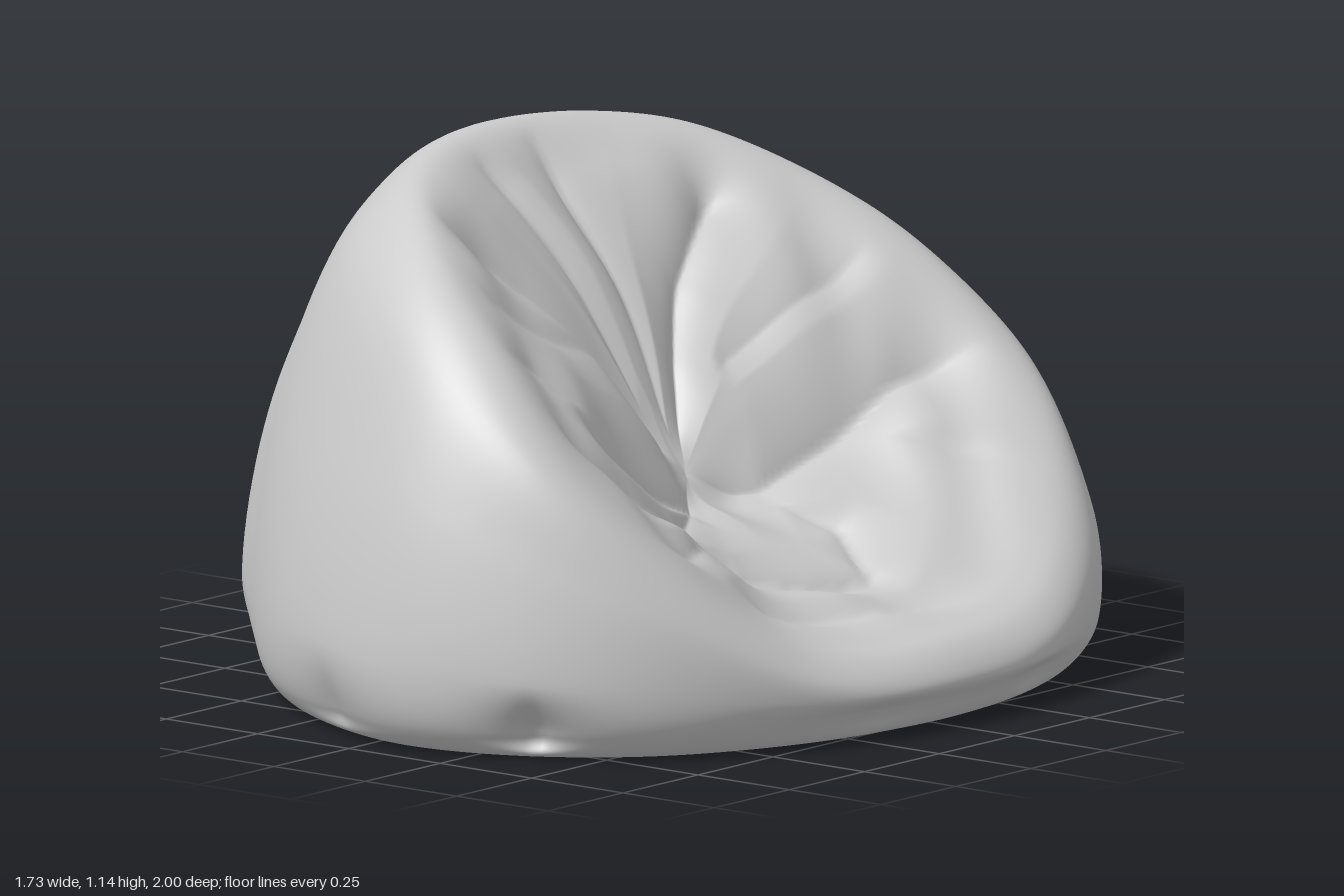
import * as THREE from 'three';

const AROUND = 256, UP = 140;
const SEAT = new THREE.Vector3(0.1, 0.45, 0);    // deepest point of the seat dent
const UNDER = new THREE.Vector3(0.05, 0.045, 0); // pucker under the bag

// Half loops [x, y, z] running from the back, round one side, to the front.
const belly = [[-0.865, 0.22, 0], [-0.8, 0.22, 0.36], [-0.62, 0.22, 0.65], [-0.34, 0.22, 0.88], [0.03, 0.2, 1.0],
  [0.36, 0.18, 0.93], [0.63, 0.15, 0.73], [0.8, 0.105, 0.4], [0.86, 0.1, 0]];
const side = [[-0.81, 0.64, 0], [-0.74, 0.63, 0.33], [-0.56, 0.62, 0.62], [-0.29, 0.6, 0.82], [0.06, 0.55, 0.94],
  [0.36, 0.45, 0.89], [0.63, 0.31, 0.71], [0.795, 0.15, 0.4], [0.845, 0.135, 0]];
const shoulder = [[-0.595, 1.05, 0], [-0.535, 1.03, 0.3], [-0.4, 0.99, 0.56], [-0.14, 0.91, 0.745], [0.11, 0.79, 0.83],
  [0.37, 0.62, 0.82], [0.6, 0.4, 0.67], [0.755, 0.2, 0.38], [0.8, 0.175, 0]];
const rim = [[-0.43, 1.14, 0], [-0.38, 1.125, 0.29], [-0.25, 1.08, 0.5], [-0.04, 0.965, 0.66], [0.15, 0.84, 0.73],
  [0.36, 0.65, 0.74], [0.57, 0.42, 0.6], [0.69, 0.235, 0.36], [0.73, 0.195, 0]];

const foot = (scale, y) => belly.map(([x, , z]) => [x * scale, y, z * scale]);
// Loops sinking from the rim to the seat centre: plump at the back rest, sagging at the front.
const inward = (t, bulge) => rim.map(([x, y, z]) => [
  x + (SEAT.x - x) * t, y + (SEAT.y - y) * t + bulge * (0.4 - x), z * (1 - t)]);

// Mirror a half loop into a closed smooth curve.
function closedLoop(half) {
  const other = half.slice(1, -1).reverse().map(([x, y, z]) => [x, y, -z]);
  return new THREE.CatmullRomCurve3([...half, ...other].map((p) => new THREE.Vector3(...p)), true);
}

const smooth = THREE.MathUtils.smoothstep;

// Creases drawn in plan: depth, width, then a path of x, z pairs
const seatCreases = [
  [0.08, 0.06, 0.1, 0, 0.2, -0.15, 0.24, -0.35, 0.27, -0.55, 0.36, -0.75],
  [0.06, 0.05, 0.1, 0, 0, 0.14, -0.1, 0.3, -0.18, 0.48],
  [0.07, 0.05, 0.1, 0, 0, -0.1, -0.08, -0.22, -0.14, -0.4],
  [0.04, 0.05, 0.1, 0, -0.12, -0.04, -0.36, -0.06],
  [0.03, 0.04, 0.03, 0.05, -0.15, 0.1, -0.33, 0.16],
  [0.06, 0.05, 0.1, 0, 0.2, 0.1, 0.22, 0.28, 0.22, 0.45],
  [0.05, 0.05, 0.2, 0.1, 0.3, 0.25, 0.33, 0.42, 0.3, 0.62],
  [0.045, 0.05, 0.33, 0.3, 0.42, 0.2, 0.48, 0, 0.5, -0.14],
  [0.035, 0.05, 0.26, -0.15, 0.36, -0.2, 0.48, -0.14],
  [0.03, 0.05, 0.2, 0.42, 0.13, 0.55, 0.15, 0.66],
  [0.035, 0.05, 0.4, 0.32, 0.5, 0.48, 0.54, 0.62],
  [0.04, 0.06, 0.58, 0.3, 0.62, 0, 0.66, -0.2, 0.74, -0.4],
  [0.025, 0.05, 0.27, -0.4, 0.42, -0.5, 0.55, -0.6],
  [0.025, 0.05, 0, 0.16, 0.02, 0.35, 0, 0.55],
  [0.025, 0.05, 0.05, -0.2, 0.08, -0.4, 0.1, -0.6]];
const underCreases = [
  [0.05, 0.035, 0.05, 0, 0.25, 0.05, 0.45, 0, 0.68, 0.12],
  [0.04, 0.035, 0.25, 0.05, 0.35, 0.3, 0.5, 0.5],
  [0.05, 0.035, 0.05, 0, 0, 0.25, 0.1, 0.5, 0.05, 0.78],
  [0.04, 0.035, 0, 0.25, -0.25, 0.4, -0.35, 0.6],
  [0.05, 0.035, 0.05, 0, -0.2, 0.06, -0.4, 0, -0.68, 0.1],
  [0.04, 0.035, 0.05, 0, -0.12, -0.25, -0.35, -0.35, -0.5, -0.5],
  [0.05, 0.035, 0.05, 0, 0.12, -0.3, 0.05, -0.55, 0.1, -0.78],
  [0.04, 0.035, 0.12, -0.3, 0.35, -0.35, 0.55, -0.45]];
// Tucks where the side meets the floor: [angle, width, depth]
const tucks = [[1.15, 0.08, 0.06], [1.75, 0.13, 0.035], [2.5, 0.12, 0.03], [0.25, 0.2, 0.02], [-0.4, 0.12, 0.025],
  [-1.5, 0.12, 0.02], [-2.4, 0.14, 0.025]];

function distanceToPath(x, z, path) {
  let best = Infinity;
  for (let i = 0; i + 3 < path.length; i += 2) {
    const dx = path[i + 2] - path[i], dz = path[i + 3] - path[i + 1];
    const t = ((x - path[i]) * dx + (z - path[i + 1]) * dz) / (dx * dx + dz * dz);
    const k = THREE.MathUtils.clamp(t, 0, 1);
    best = Math.min(best, Math.hypot(x - path[i] - dx * k, z - path[i + 1] - dz * k));
  }
  return best;
}

// The deepest crease at a point wins, so crossings do not add up.
const creaseDepth = (creases, x, z) => Math.max(...creases.map(([depth, width, ...path]) =>
  depth * Math.exp(-distanceToPath(x, z, path) / width)));

function tuckDepth(angle) {
  return tucks.reduce((sum, [at, width, depth]) => {
    const gap = Math.atan2(Math.sin(angle - at), Math.cos(angle - at));
    return sum + depth * Math.exp(-Math.abs(gap) / width);
  }, 0);
}

// Wrinkle a smooth point; row 0 is the floor pucker, 5 the belly, 8 the rim and 12 the seat centre.
function wrinkle(p, row) {
  if (row > 8) {
    const fade = smooth(row, 8, 9.2) * (1 - smooth(row, 11, 12));
    const ripple = 0.008 * Math.sin(p.x * 17 + 4 * Math.sin(p.z * 6)) + 0.006 * Math.sin(p.z * 21 + p.x * 8);
    const drop = fade * (creaseDepth(seatCreases, p.x, p.z) - 0.02 + ripple);
    p.y -= drop * 0.85;
    p.x -= drop * 0.3;
  } else if (row < 4) {
    const r = Math.hypot(p.x, p.z);
    p.y += smooth(r, 0.02, 0.25) * (1 - smooth(r, 0.65, 0.85)) * creaseDepth(underCreases, p.x, p.z);
  }
  // Cloth pinched in at the bottom edge
  const pinch = smooth(row, 3, 3.8) * (1 - smooth(row, 4, 5));
  const k = 1 - pinch * tuckDepth(Math.atan2(p.z, p.x));
  p.x *= k;
  p.z *= k;
  // Slight lopsided lean of the filling
  p.x += 0.09 * p.z * (0.5 - p.x) * (1 - smooth(Math.abs(p.x), 0.6, 0.86));
  p.y = Math.max(p.y, 0);
  return p;
}

function bagGeometry() {
  const loops = [foot(0.45, 0.008), foot(0.8, 0.004), foot(0.92, 0.01), foot(0.98, 0.065), belly, side, shoulder, rim,
    inward(0.25, 0.08), inward(0.55, 0.12), inward(0.82, 0.07)].map(closedLoop);
  const spans = loops.length + 1;
  const positions = [], index = [];
  for (let i = 0; i < AROUND; i++) {
    const section = new THREE.CatmullRomCurve3(
      [UNDER, ...loops.map((loop) => loop.getPoint(i / AROUND)), SEAT], false, 'centripetal');
    for (let j = 0; j <= UP; j++) {
      positions.push(...wrinkle(section.getPoint(j / UP), (j / UP) * spans).toArray());
    }
  }
  // Quads between neighbouring sections, triangles at the two closing points
  const row = UP + 1;
  for (let i = 0; i < AROUND; i++) {
    for (let j = 0; j < UP; j++) {
      const a = i * row + j, b = ((i + 1) % AROUND) * row + j;
      if (j > 0) index.push(a, b, b + 1);
      if (j < UP - 1) index.push(a, b + 1, a + 1);
    }
  }
  const geometry = new THREE.BufferGeometry();
  geometry.setAttribute('position', new THREE.Float32BufferAttribute(positions, 3));
  geometry.setIndex(index);
  geometry.computeVertexNormals();
  return geometry;
}

export function createModel() {
  const group = new THREE.Group();
  group.name = 'beanBagChair';
  const bag = new THREE.Mesh(bagGeometry(),
    new THREE.MeshStandardMaterial({ color: 0xcccccc, side: THREE.DoubleSide }));
  bag.name = 'bag';
  group.add(bag);
  return group;
}
